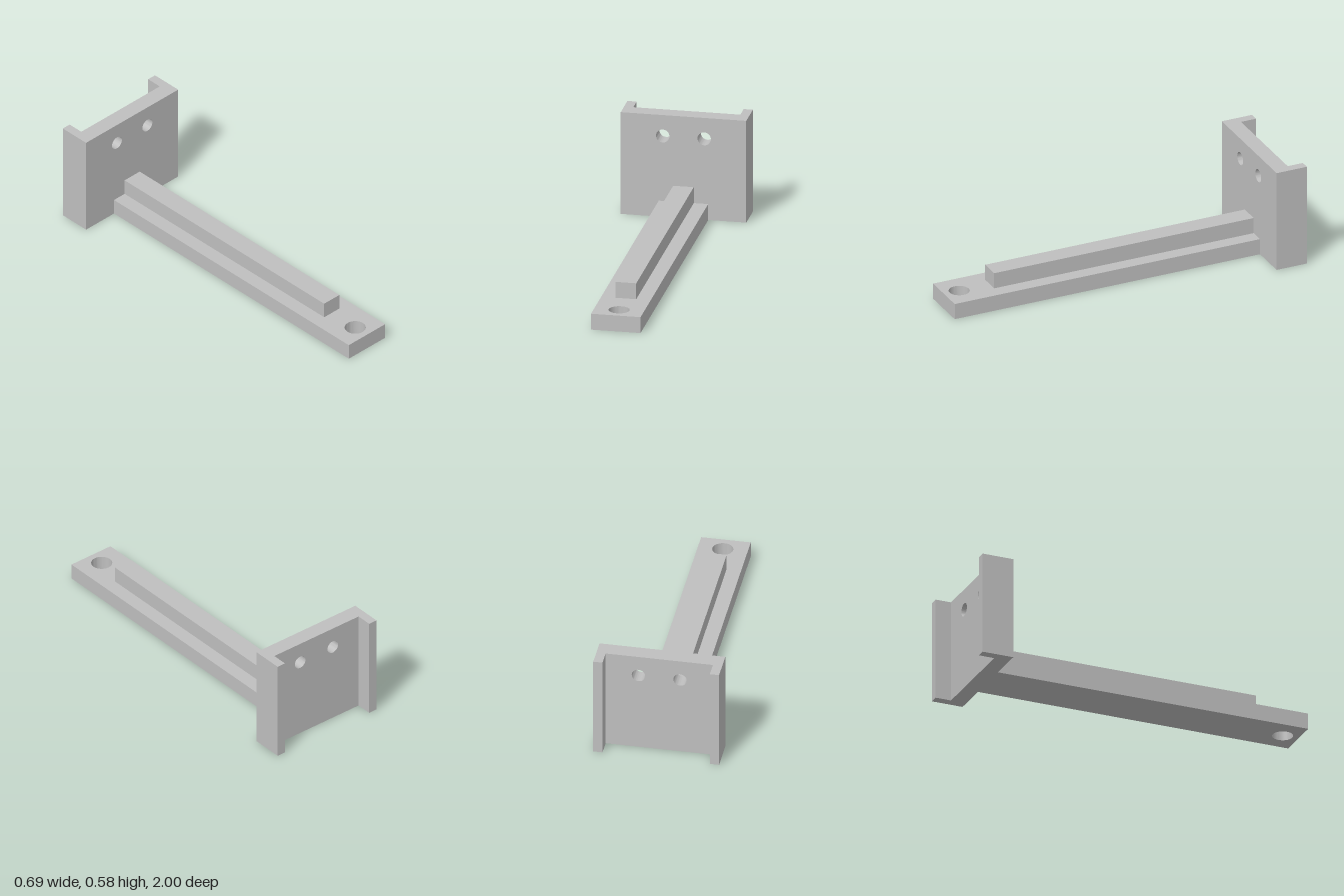
import * as THREE from 'three';
import { toCreasedNormals } from 'three/addons/utils/BufferGeometryUtils.js';

// Rectangle shape with round holes given as [x, y, radius]
function plateShape(x0, y0, x1, y1, holes) {
  const shape = new THREE.Shape();
  shape.moveTo(x0, y0).lineTo(x1, y0).lineTo(x1, y1).lineTo(x0, y1).closePath();
  for (const [x, y, r] of holes) {
    shape.holes.push(new THREE.Path().absarc(x, y, r, 0, Math.PI * 2, true));
  }
  return shape;
}

function extrude(shape, depth) {
  const g = new THREE.ExtrudeGeometry(shape, { depth, bevelEnabled: false, curveSegments: 24 });
  return toCreasedNormals(g, 0.6);
}

export function createModel() {
  const group = new THREE.Group();
  const grey = new THREE.MeshStandardMaterial({ color: 0xbfbfbf });
  grey.name = 'light grey';

  const add = (name, geometry, x = 0, y = 0, z = 0) => {
    const mesh = new THREE.Mesh(geometry, grey);
    mesh.name = name;
    mesh.position.set(x, y, z);
    group.add(mesh);
  };

  const W = 0.345, H = 0.583, backZ = -1, webZ = -0.91, faceZ = -0.82;

  // Upright mounting plate with two screw holes
  const holes = [-1, 1].map((s) => [s * 0.114, 0.463, 0.037]);
  add('mountingPlate', extrude(plateShape(-W, 0, W, H, holes), faceZ - webZ), 0, 0, webZ);

  // Side flanges running back from the plate
  const flangeW = 0.051;
  for (const [name, s] of [['leftFlange', 1], ['rightFlange', -1]]) {
    add(name, new THREE.BoxGeometry(flangeW, H, webZ - backZ),
      s * (W - flangeW / 2), H / 2, (backZ + webZ) / 2);
  }

  // Long flat arm with a hole near its free end
  const armH = 0.091;
  const arm = extrude(plateShape(-0.136, -1, 0.136, -faceZ, [[0, -0.909, 0.057]]), armH);
  arm.rotateX(-Math.PI / 2);
  add('arm', arm);

  // Stiffening rib on top of the arm
  const ribEnd = 0.727;
  add('rib', new THREE.BoxGeometry(0.113, armH, ribEnd - faceZ), 0, armH * 1.5, (ribEnd + faceZ) / 2);

  return group;
}
